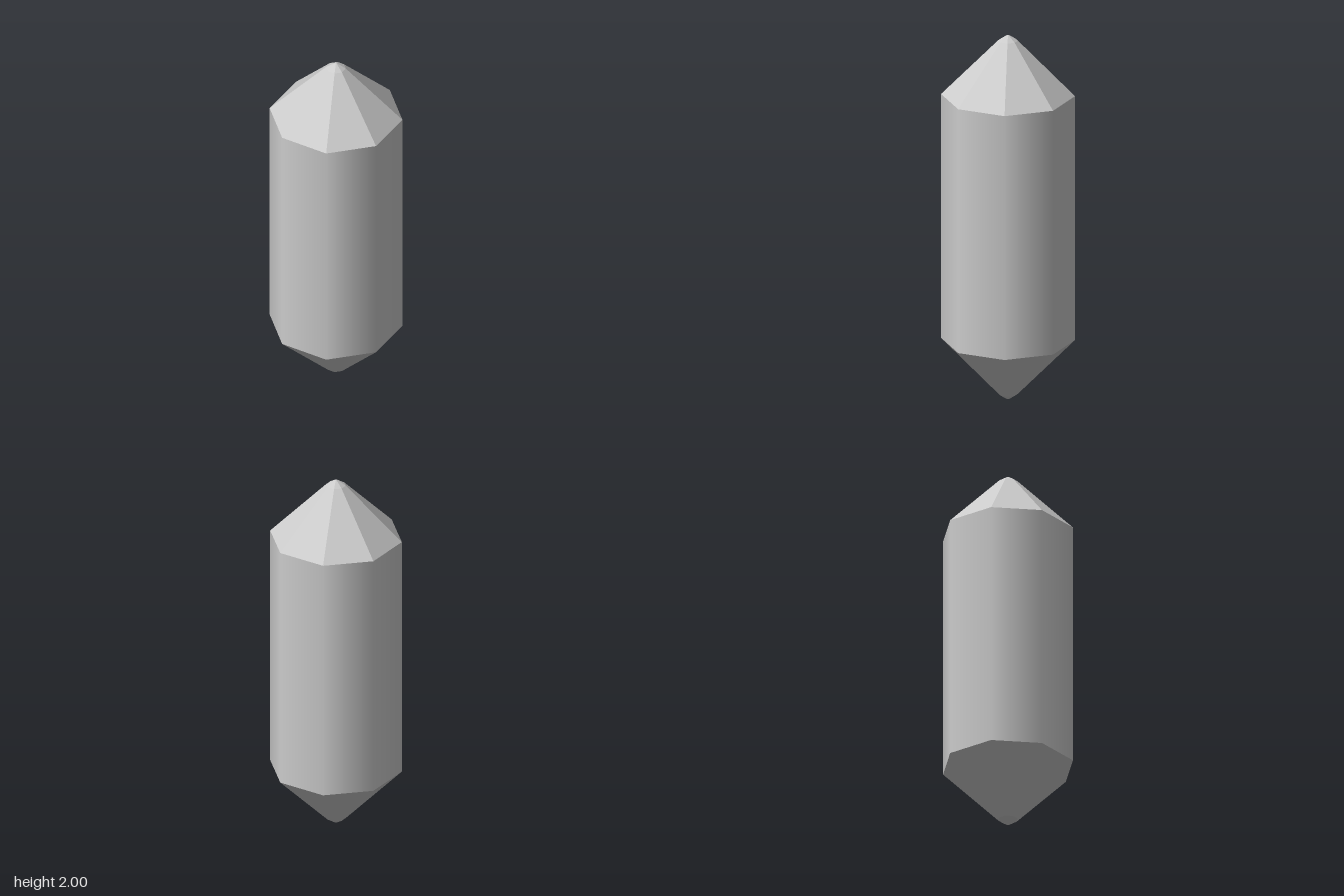
import * as THREE from 'three';

export function createModel() {
  const group = new THREE.Group();
  const sides = 8, radius = 0.35, bottom = 0.33, top = 1.67;
  const smooth = new THREE.MeshStandardMaterial({ color: 0xcccccc });
  const faceted = new THREE.MeshStandardMaterial({ color: 0xcccccc, flatShading: true });

  // Eight-sided shaft with smooth shading
  const shaft = new THREE.Mesh(
    new THREE.CylinderGeometry(radius, radius, top - bottom, sides, 1, true), smooth);
  shaft.name = 'shaft';
  shaft.position.y = (top + bottom) / 2;
  group.add(shaft);

  // Faceted point with a blunted apex, starting at y = 0
  const profile = [[radius, 0], [0.052, 0.3], [0.005, 0.33], [0, 0.33]]
    .map(([r, y]) => new THREE.Vector2(r, y));
  const pointGeometry = new THREE.LatheGeometry(profile, sides);

  const upperPoint = new THREE.Mesh(pointGeometry, faceted);
  upperPoint.name = 'upperPoint';
  upperPoint.position.y = top;

  // Same point turned upside down
  const lowerPoint = new THREE.Mesh(pointGeometry, faceted);
  lowerPoint.name = 'lowerPoint';
  lowerPoint.position.y = bottom;
  lowerPoint.rotation.x = Math.PI;

  group.add(upperPoint, lowerPoint);
  return group;
}
